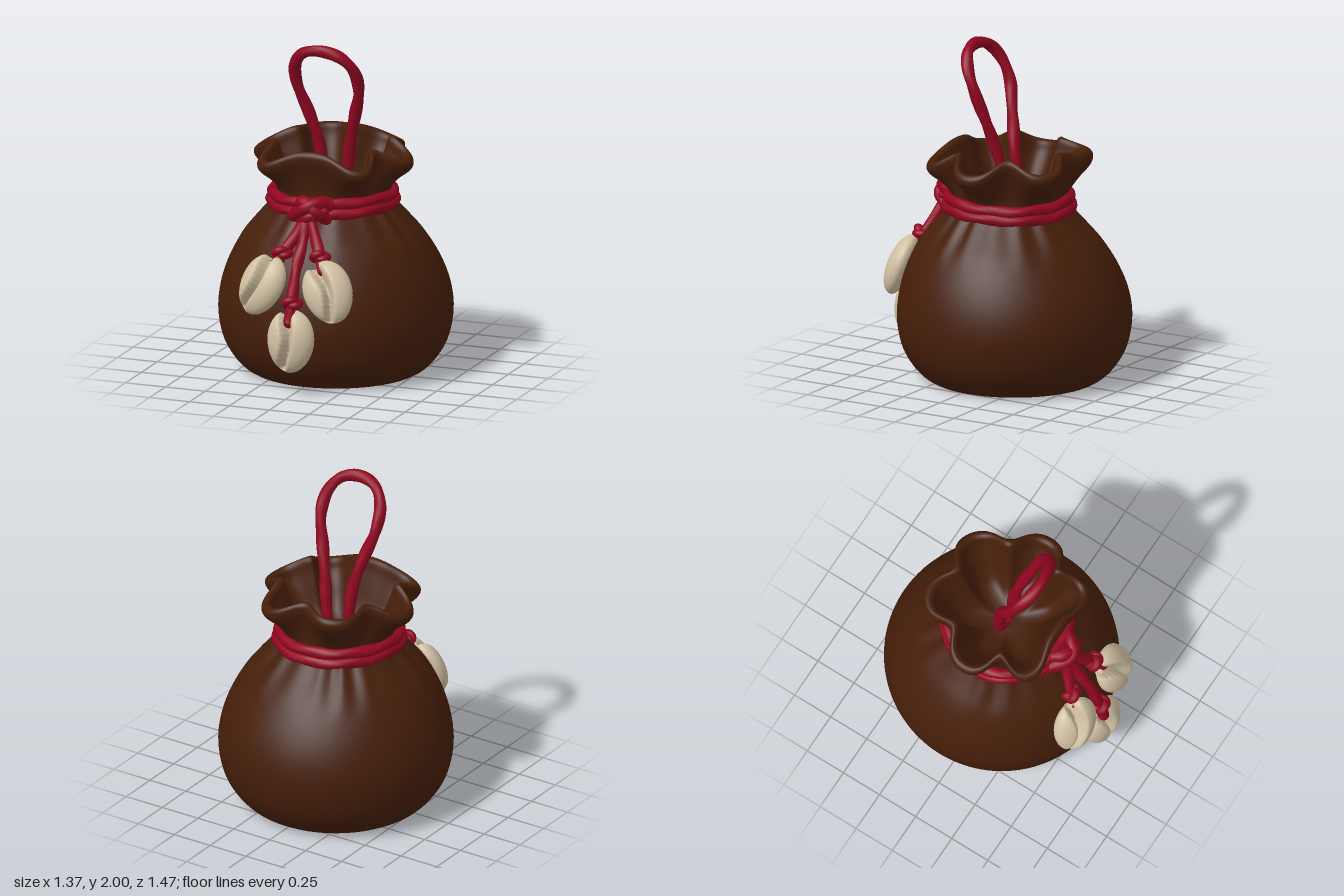
import * as THREE from 'three';
import { mergeVertices } from 'three/addons/utils/BufferGeometryUtils.js';

const leather = new THREE.MeshStandardMaterial({ color: 0x451e09 });
leather.name = 'brown leather';
const cord = new THREE.MeshStandardMaterial({ color: 0x900620 });
cord.name = 'crimson cord';
const ivory = new THREE.MeshStandardMaterial({ color: 0xd0bfa1 });
ivory.name = 'ivory shell';

const V = (p) => new THREE.Vector3(...p);
const { smoothstep } = THREE.MathUtils;

function mesh(geometry, material, name) {
  const m = new THREE.Mesh(geometry, material);
  m.name = name;
  return m;
}

// Weld the seams and smooth the normals again after moving vertices
function smooth(g) {
  g.deleteAttribute('uv');
  g.deleteAttribute('normal');
  const welded = mergeVertices(g, 1e-5);
  welded.computeVertexNormals();
  return welded;
}

// Bag wall: outside, rolled rim and inside in one profile of [radius, height, lobe depth]
function bagGeometry() {
  const profile = new THREE.CatmullRomCurve3([
    [0.5, 0, 0], [0.54, 0.025, 0], [0.6, 0.09, 0], [0.655, 0.19, 0], [0.685, 0.35, 0],
    [0.67, 0.5, 0], [0.62, 0.65, 0], [0.535, 0.8, 0], [0.44, 0.91, 0], [0.37, 0.99, 0],
    [0.335, 1.05, 0.002], [0.335, 1.11, 0.012], [0.37, 1.19, 0.034], [0.413, 1.255, 0.053],
    [0.43, 1.292, 0.056], [0.428, 1.325, 0.056], [0.406, 1.345, 0.055], [0.378, 1.335, 0.054],
    [0.356, 1.28, 0.053], [0.315, 1.2, 0.05], [0.265, 1.1, 0.045], [0.2, 1.02, 0.035],
    [0.1, 0.98, 0.01], [0.001, 0.98, 0]].map(V));
  const rows = 110, cols = 144, pos = [], index = [];
  for (let k = 0; k <= rows; k++) {
    const p = profile.getPoint(k / rows);
    const outside = k / rows < 0.6 ? 1 : 0;
    const zc = -0.05 + 0.035 * smoothstep(p.y, 0.4, 1.0);
    const pleat = 0.014 * outside * smoothstep(p.y, 0.72, 0.95) * (1 - smoothstep(p.y, 1.0, 1.12));
    const lift = smoothstep(p.y, 1.12, 1.33);
    for (let i = 0; i < cols; i++) {
      const a = (i / cols) * Math.PI * 2;
      // Broad lobes with tight valleys; the front pair is spread towards the sides
      const phase = a + 0.35 * Math.sin(2 * a) * Math.max(0, Math.sin(a)) ** 2;
      const lobe = Math.cos(6 * phase) + 0.15 * (1 - Math.cos(12 * phase));
      const droop = 0.04 - 0.028 * Math.max(0, Math.cos(a - 4.3)) ** 3;
      const fold = Math.cos(17 * a + Math.sin(3 * a)) * (0.6 + 0.4 * Math.sin(5 * a));
      const r = p.x + p.z * lobe + pleat * fold;
      pos.push(r * Math.cos(a), p.y + lift * (0.04 - droop * (1 + lobe)), zc + r * Math.sin(a));
      if (k < rows) {
        const A = k * cols + i, B = k * cols + (i + 1) % cols;
        index.push(A, A + cols, B, B, A + cols, B + cols);
      }
    }
  }
  const g = new THREE.BufferGeometry();
  g.setAttribute('position', new THREE.Float32BufferAttribute(pos, 3));
  g.setIndex(index);
  g.computeVertexNormals();
  return g;
}

// Twisted cord along points, with round ends when open
function rope(points, radius, name, closed = false) {
  const curve = new THREE.CatmullRomCurve3(points.map(V), closed);
  const length = curve.getLength(), n = Math.max(16, Math.ceil(length * 75)), sides = 14;
  const g = new THREE.TubeGeometry(curve, n, radius, sides, closed);
  const turns = Math.max(1, Math.round(length * 4)), pos = g.attributes.position, v = new THREE.Vector3();
  for (let i = 0; i <= n; i++) {
    const c = curve.getPointAt(i / n);
    for (let j = 0; j <= sides; j++) {
      const id = i * (sides + 1) + j;
      const s = 1 + 0.1 * Math.cos((2 * j / sides - turns * i / n) * Math.PI * 2);
      v.fromBufferAttribute(pos, id).sub(c).multiplyScalar(s).add(c);
      pos.setXYZ(id, v.x, v.y, v.z);
    }
  }
  const group = new THREE.Group();
  group.name = name;
  group.add(mesh(smooth(g), cord, name + 'Cord'));
  if (!closed) for (const p of [points[0], points[points.length - 1]]) {
    const end = mesh(new THREE.SphereGeometry(radius, 12, 8), cord, name + 'End');
    end.position.set(...p);
    group.add(end);
  }
  return group;
}

// Egg-shaped shell with a curved, toothed slit down the front
function shellGeometry() {
  const g = new THREE.SphereGeometry(1, 80, 56), pos = g.attributes.position;
  for (let i = 0; i < pos.count; i++) {
    const x = pos.getX(i), y = pos.getY(i), z = pos.getZ(i);
    const px = x * 0.143 * (1 + 0.07 * y);
    let py = y * 0.188, pz = z * (z > 0 ? 0.088 : 0.065);
    const slit = -0.03 + 0.03 * Math.cos(y * 2.2);
    const d = (px - slit) / (0.02 + 0.014 * Math.max(0, y));
    const cut = Math.exp(-d * d);
    if (z > 0) {
      const teeth = 0.005 * Math.cos(y * 38) * Math.exp(-Math.pow(d + 1.1, 2) * 3);
      pz -= (0.085 * cut + teeth) * Math.min(1, z * 2.5);
    }
    if (y > 0) py -= 0.05 * cut * smoothstep(y, 0.8, 1);
    pos.setXYZ(i, px, py, pz);
  }
  return smooth(g);
}

export function createModel() {
  const model = new THREE.Group();
  model.name = 'drawstringPouch';

  // Bag and flat base
  model.add(mesh(bagGeometry(), leather, 'bag'));
  const base = mesh(new THREE.CircleGeometry(0.5, 144), leather, 'base');
  base.rotation.x = Math.PI / 2;
  base.position.z = -0.05;
  model.add(base);

  // Two turns of cord around the neck
  [[1.075, 0.352], [1.022, 0.362]].forEach(([y, r], k) => {
    const ring = [];
    for (let i = 0; i < 24; i++) {
      const a = (i / 24) * Math.PI * 2;
      ring.push([r * Math.cos(a), y + 0.006 * Math.sin(2 * a + k), -0.012 + r * Math.sin(a)]);
    }
    model.add(rope(ring, 0.033, 'neckTie', true));
  });

  // Hanging loop rising from inside the neck
  model.add(rope([
    [0, 1.0, -0.025], [-0.055, 1.04, -0.025], [-0.07, 1.18, -0.02], [-0.083, 1.35, 0], [-0.13, 1.54, 0.045],
    [-0.184, 1.72, 0.095], [-0.176, 1.85, 0.15], [-0.11, 1.938, 0.198], [0, 1.965, 0.215],
    [0.12, 1.935, 0.197], [0.188, 1.85, 0.15], [0.2, 1.72, 0.095], [0.155, 1.54, 0.045],
    [0.108, 1.35, 0], [0.085, 1.18, -0.02], [0.06, 1.04, -0.025],
  ], 0.034, 'hangingLoop', true));

  // Front knot made of crossing wraps
  const knot = new THREE.Group();
  knot.name = 'frontKnot';
  knot.add(
    rope([[-0.11, 1.0, 0.34], [-0.06, 1.03, 0.395], [0.01, 1.075, 0.428], [0.07, 1.095, 0.385], [0.11, 1.08, 0.33]], 0.04, 'upperWrap'),
    rope([[-0.06, 1.0, 0.36], [-0.03, 0.995, 0.4], [0.03, 1.02, 0.42], [0.09, 1.05, 0.375]], 0.036, 'lowerWrap'),
    rope([[-0.06, 1.08, 0.35], [-0.04, 1.098, 0.39], [0.01, 1.095, 0.41], [0.06, 1.05, 0.42], [0.1, 1.0, 0.36]], 0.036, 'crossWrap'));
  model.add(knot);

  // Three strands, each with a small knot and a shell
  const shellShape = shellGeometry();
  const drops = [
    { side: 'right', path: [[-0.01, 1.01, 0.4], [-0.06, 0.9, 0.45], [-0.11, 0.81, 0.5], [-0.135, 0.75, 0.55]],
      tie: [-0.115, 0.81, 0.505], shell: [-0.207, 0.632, 0.588], turn: [-0.36, -0.3, -0.32] },
    { side: 'left', path: [[0.02, 1.01, 0.4], [0.07, 0.9, 0.45], [0.12, 0.81, 0.5], [0.155, 0.74, 0.55]],
      tie: [0.12, 0.81, 0.505], shell: [0.204, 0.627, 0.588], turn: [-0.36, 0.3, 0.32] },
    { side: 'middle', path: [[0, 1.01, 0.41], [0, 0.9, 0.46], [-0.005, 0.72, 0.575], [-0.005, 0.55, 0.635], [-0.012, 0.44, 0.665]],
      tie: [-0.003, 0.55, 0.635], shell: [-0.005, 0.327, 0.648], turn: [-0.08, 0, -0.03] },
  ];
  for (const d of drops) {
    const drop = new THREE.Group();
    drop.name = d.side + 'Pendant';
    drop.add(rope(d.path, 0.032, d.side + 'Strand'));
    const tie = mesh(new THREE.TorusKnotGeometry(0.029, 0.024, 80, 10, 2, 3), cord, d.side + 'StrandKnot');
    tie.position.set(...d.tie);
    tie.rotation.x = Math.PI / 2 - 0.4;
    const shell = mesh(shellShape, ivory, d.side + 'Shell');
    shell.position.set(...d.shell);
    shell.rotation.set(...d.turn, 'YXZ');
    drop.add(tie, shell);
    model.add(drop);
  }
  return model;
}
